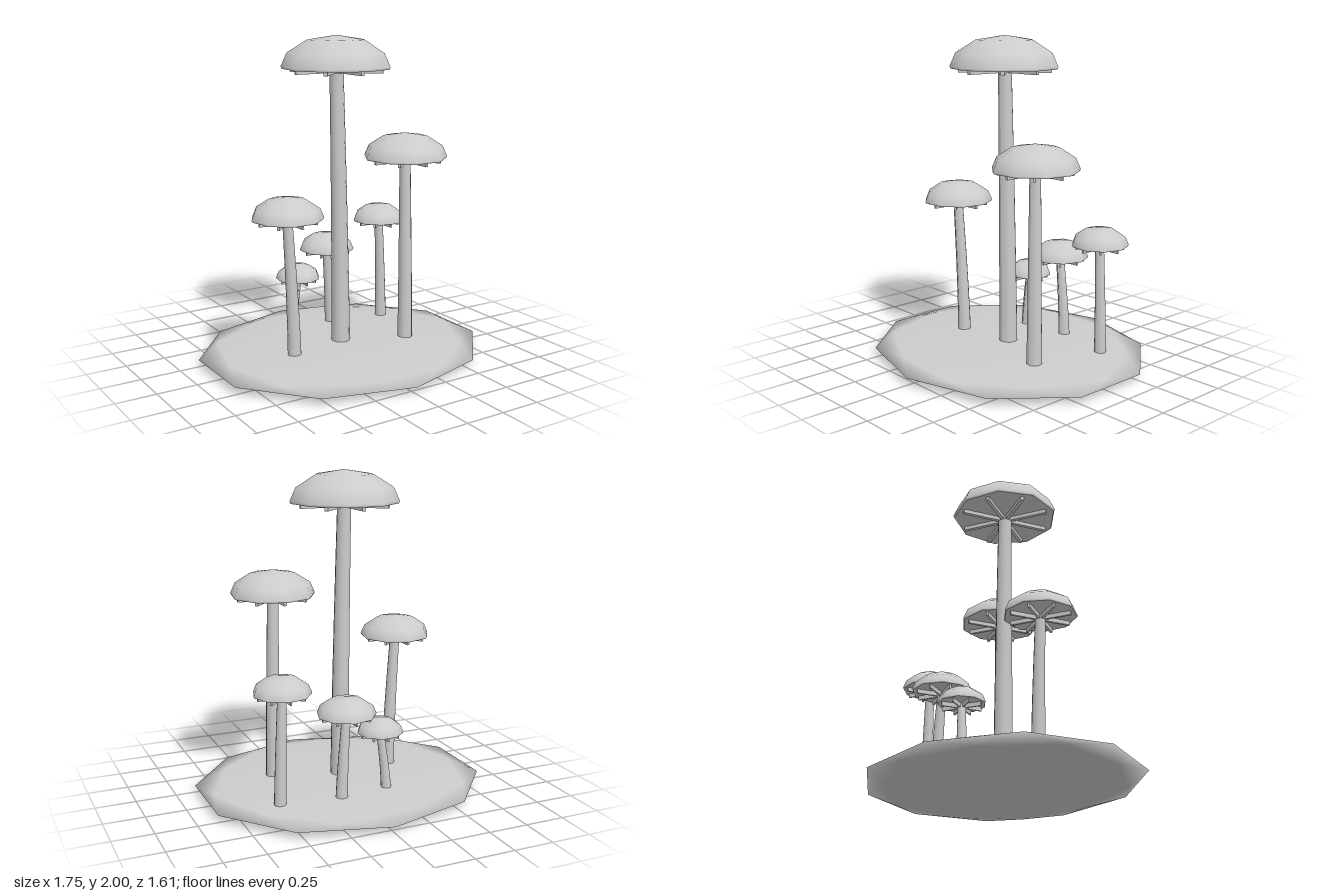
import * as THREE from 'three';
import { mergeVertices } from 'three/addons/utils/BufferGeometryUtils.js';

const grey = new THREE.MeshStandardMaterial({ color: 0xcccccc });
grey.name = 'light grey';

const CAP_SIDES = 9;
const GILLS = 8;

function addMesh(parent, name, geometry) {
  const mesh = new THREE.Mesh(geometry, grey);
  mesh.name = name;
  parent.add(mesh);
  return mesh;
}

// Tapered stem, bent sideways from its foot to the cap
function stemGeometry(foot, cap) {
  const y0 = 0.05, h = cap.rim - y0;
  const g = new THREE.CylinderGeometry(foot.r * 0.72, foot.r, h, 12, 8);
  g.translate(0, h / 2 + y0, 0);
  const p = g.attributes.position;
  for (let i = 0; i < p.count; i++) {
    const t = Math.max(0, (p.getY(i) - y0) / h) ** 1.4;
    p.setX(i, p.getX(i) + THREE.MathUtils.lerp(foot.x, cap.x, t));
    p.setZ(i, p.getZ(i) + THREE.MathUtils.lerp(foot.z, cap.z, t));
  }
  g.computeVertexNormals();
  return g;
}

// Nine-sided dome; turn is the angle of one corner from +x towards +z
function domeGeometry(r, h, turn) {
  const profile = [[0.98, 0], [1, 0.07], [0.89, 0.48], [0.53, 0.86], [0, 1]]
    .map(([s, t]) => new THREE.Vector2(s * r, t * h));
  return new THREE.LatheGeometry(profile, CAP_SIDES, Math.PI / 2 - turn);
}

function createMushroom(name, foot, cap) {
  const group = new THREE.Group();
  group.name = name;
  addMesh(group, 'stem', stemGeometry(foot, cap));

  const head = new THREE.Group();
  head.name = 'head';
  head.position.set(cap.x, cap.rim, cap.z);
  group.add(head);
  const turn = THREE.MathUtils.degToRad(cap.turn);
  addMesh(head, 'cap', domeGeometry(cap.r, cap.top - cap.rim, turn));
  const underside = new THREE.CircleGeometry(cap.r * 0.98, CAP_SIDES, turn);
  addMesh(head, 'capUnderside', underside.rotateX(Math.PI / 2));

  // Radial gills hang below the cap
  const bar = new THREE.BoxGeometry(cap.r * 0.74, 0.03, cap.r * 0.065);
  bar.translate(cap.r * 0.48, -0.01, 0);
  for (let i = 0; i < GILLS; i++) addMesh(head, 'gill', bar).rotation.y = (i * 2 * Math.PI) / GILLS;
  return group;
}

// Flattened sphere of triangles with a ten-sided rim
function groundGeometry() {
  let g = new THREE.IcosahedronGeometry(1, 1);
  g.deleteAttribute('uv');
  g.deleteAttribute('normal');
  g = mergeVertices(g, 1e-4);
  // Stand the sphere on a corner
  g.rotateZ(-Math.atan(2 / (1 + Math.sqrt(5))));
  g.scale(0.922, 0.043, 0.805);
  g.translate(0, 0.043, 0);
  g.computeVertexNormals();
  return g;
}

export function createModel() {
  const model = new THREE.Group();
  model.name = 'mushroomCluster';
  addMesh(model, 'ground', groundGeometry());
  model.add(
    createMushroom('tallestMushroom', { x: -0.005, z: 0, r: 0.059 },
      { x: -0.035, z: 0, r: 0.335, rim: 1.8, top: 2, turn: 10 }),
    createMushroom('leftFrontMushroom', { x: 0.39, z: 0.15, r: 0.048 },
      { x: 0.38, z: 0.14, r: 0.263, rim: 1.24, top: 1.4, turn: 30 }),
    createMushroom('rightFrontMushroom', { x: -0.375, z: 0.055, r: 0.042 },
      { x: -0.42, z: 0.062, r: 0.22, rim: 0.933, top: 1.07, turn: 30 }),
    createMushroom('leftBackMushroom', { x: 0.51, z: -0.3, r: 0.038 },
      { x: 0.49, z: -0.3, r: 0.175, rim: 0.745, top: 0.86, turn: -2 }),
    createMushroom('middleBackMushroom', { x: 0.14, z: -0.36, r: 0.037 },
      { x: 0.105, z: -0.35, r: 0.18, rim: 0.585, top: 0.7, turn: -3 }),
    createMushroom('smallestMushroom', { x: -0.178, z: -0.32, r: 0.032 },
      { x: -0.137, z: -0.31, r: 0.142, rim: 0.433, top: 0.53, turn: 9 }),
  );
  return model;
}
